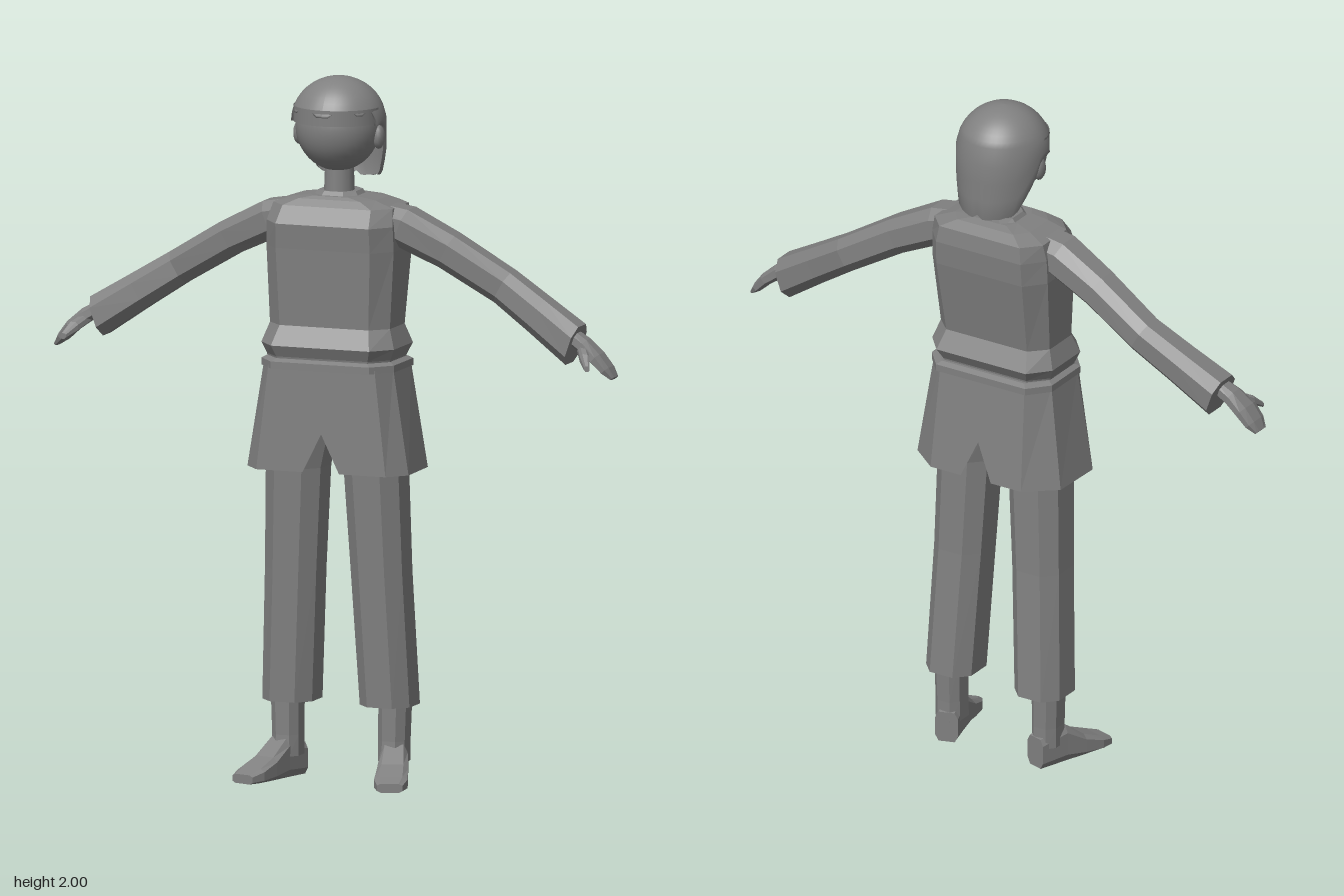
import * as THREE from 'three';

const V = (x, y, z) => new THREE.Vector3(x, y, z);
const X = V(1, 0, 0), Y = V(0, 1, 0), Z = V(0, 0, 1);
const GREY = 0x808080;
const material = new THREE.MeshStandardMaterial({ color: GREY, flatShading: true, side: THREE.DoubleSide });
const smooth = new THREE.MeshStandardMaterial({ color: GREY, side: THREE.DoubleSide });

// Eight-sided section around c; e1 x e2 points along the loft
function section(c, e1, e2, h1, h2, b1 = 0.5, b2 = 0.5) {
  return [[1, b2], [b1, 1], [-b1, 1], [-1, b2], [-1, -b2], [-b1, -1], [b1, -1], [1, -b2]]
    .map(([p, q]) => c.clone().addScaledVector(e1, p * h1).addScaledVector(e2, q * h2));
}

// Horizontal section from its extents
const level = (y, x0, x1, zb, zf, bz = 0.5, bx = 0.5) =>
  section(V((x0 + x1) / 2, y, (zb + zf) / 2), Z, X, (zf - zb) / 2, (x1 - x0) / 2, bz, bx);

// Section across a limb running in the xy plane, tilted down by an angle
const limb = (x, y, z, hn, hz, tilt) =>
  section(V(x, y, z), V(Math.sin(tilt), Math.cos(tilt), 0), Z, hn, hz);

// Skin a row of sections; side = -1 mirrors it across x
function loft(name, rings, side = 1, closed = true) {
  const rows = side > 0 ? rings
    : rings.map(r => r.map(p => V(-p.x, p.y, p.z)).reverse());
  const out = [], n = rows[0].length;
  for (let r = 0; r < rows.length - 1; r++) {
    for (let i = 0; i < (closed ? n : n - 1); i++) {
      const j = (i + 1) % n;
      const a = rows[r][i], b = rows[r][j], c = rows[r + 1][j], d = rows[r + 1][i];
      out.push(a, b, c, a, c, d);
    }
  }
  if (closed) {
    const first = rows[0], last = rows[rows.length - 1];
    for (let i = 1; i < n - 1; i++) {
      out.push(first[0], first[i + 1], first[i], last[0], last[i], last[i + 1]);
    }
  }
  const g = new THREE.BufferGeometry().setFromPoints(out);
  g.computeVertexNormals();
  const m = new THREE.Mesh(g, material);
  m.name = name;
  return m;
}

// Hair shell: a dome whose ragged lower edge drops from the fringe to the nape
function hair() {
  const cols = 48, dome = 8, skirtRows = 4, pos = [], index = [];
  const jag = [0, 0.012, 0.016, 0.004, 0.014, 0.02];
  const rows = dome + skirtRows + 1;
  for (let i = 0; i <= cols; i++) {
    const a = (i / cols) * Math.PI * 2;
    const m = Math.min(i, cols - i), off = m / (cols / 2);
    const lock = jag[Math.floor(m / 2) % jag.length];
    let bottom = 1.898 + lock;
    if (off > 0.4) bottom = 1.87;
    if (off > 0.54) bottom = Math.max(1.712, 1.86 - (off - 0.54) * 0.75) - lock * 0.6;
    for (let r = 0; r <= rows; r++) {
      const t = Math.min(Math.max(r - dome, 0) / skirtRows, 1);
      const y = r <= dome ? 2 - 0.08 * (1 - Math.cos((r / dome) * Math.PI / 2)) : 1.92 + (bottom - 1.92) * t;
      let k = Math.sqrt(Math.max(0, 1 - (Math.max(0, y - 1.87) / 0.13) ** 2));
      if (r === rows) k *= 0.93;
      const c = Math.cos(a), taper = y < 1.8 ? 1 - (1.8 - y) * 0.9 : 1;
      pos.push(0.134 * Math.sin(a) * k * taper, y, -0.015 + c * k * (c > 0 ? 0.132 : 0.142));
      if (i < cols && r < rows) {
        const p = i * (rows + 1) + r, q = p + rows + 1;
        index.push(p + 1, q + 1, q, p + 1, q, p);
      }
    }
  }
  const g = new THREE.BufferGeometry();
  g.setAttribute('position', new THREE.Float32BufferAttribute(pos, 3));
  g.setIndex(index);
  g.computeVertexNormals();
  const m = new THREE.Mesh(g, smooth);
  m.name = 'hair';
  return m;
}

function ellipsoid(name, x, y, z, rx, ry, rz, w = 32, h = 20) {
  const m = new THREE.Mesh(new THREE.SphereGeometry(1, w, h).scale(rx, ry, rz), smooth);
  m.position.set(x, y, z);
  m.name = name;
  return m;
}

export function createModel() {
  const model = new THREE.Group();
  model.name = 'figure';

  // Head, hair and neck
  model.add(ellipsoid('head', 0, 1.86, -0.012, 0.12, 0.128, 0.118), hair());
  const neck = new THREE.Mesh(new THREE.CylinderGeometry(0.04, 0.046, 0.16, 12), smooth);
  neck.position.set(0, 1.69, -0.022);
  neck.name = 'neck';
  model.add(neck);

  // Lower layer of hair across the forehead
  const brow = new THREE.Mesh(
    new THREE.CylinderGeometry(1, 1, 0.045, 24, 1, true, -1.5, 3).scale(0.126, 1, 0.123), smooth);
  brow.position.set(0, 1.896, -0.012);
  brow.name = 'hairline';
  model.add(brow);

  // Collar
  model.add(loft('collar', [level(1.65, -0.075, 0.075, -0.095, 0.045), level(1.676, -0.056, 0.056, -0.088, 0.022)]));

  // Tunic top with a bloused waist: y, half width, back, front
  const torso = [
    [1.2, 0.183, -0.115, 0.11], [1.213, 0.186, -0.117, 0.112], [1.245, 0.2, -0.137, 0.127],
    [1.3, 0.181, -0.108, 0.096], [1.52, 0.192, -0.147, 0.106],
    [1.59, 0.19, -0.152, 0.112], [1.638, 0.18, -0.146, 0.076],
    [1.657, 0.125, -0.115, 0.056], [1.665, 0.072, -0.09, 0.045],
  ];
  model.add(loft('tunicTop', torso.map(([y, w, b, f]) => level(y, -w, w, b, f, 0.55, 0.74))));

  // Belt
  model.add(loft('belt', [[1.18, 0.2], [1.2, 0.2], [1.208, 0.185]].map(([y, w]) =>
    level(y, -w, w, 0.06 - w, w - 0.072, 0.55, 0.74))));

  // Skirt halves, slit at the centre of the front and back: x, z along top and hem
  const top = [[0, 0.115], [0.03, 0.115], [0.16, 0.115], [0.195, 0.06],
    [0.195, -0.075], [0.14, -0.13], [0.03, -0.13], [0, -0.13]];
  const hem = [[0, 0.118], [0.055, 0.12], [0.195, 0.12], [0.243, 0.065],
    [0.238, -0.095], [0.15, -0.165], [0.05, -0.165], [0, -0.152]];
  const skirt = [
    hem.map(([x, z], i) => V(x, i === 0 || i === 7 ? 1.0 : 0.89, z)),
    top.map(([x, z]) => V(x, 1.19, z)),
  ];

  for (const side of [1, -1]) {
    const s = side > 0 ? 'left' : 'right';
    const add = (name, rings, closed = true) => model.add(loft(s + name, rings, side, closed));

    add('Skirt', skirt, false);

    // Trouser leg
    add('Trouser', [
      level(0.22, 0.072, 0.222, -0.115, 0.045), level(0.6, 0.052, 0.207, -0.095, 0.062),
      level(0.89, 0.035, 0.2, -0.09, 0.075), level(1.02, 0.006, 0.195, -0.095, 0.08),
      level(1.17, 0, 0.18, -0.1, 0.085),
    ]);

    // Ankle and foot, toes turned out
    add('Ankle', [level(0.06, 0.12, 0.2, -0.083, 0.012), level(0.12, 0.12, 0.2, -0.082, 0.008),
      level(0.26, 0.12, 0.205, -0.085, 0.008)]);
    const turn = 0.3;
    const across = V(Math.cos(turn), 0, -Math.sin(turn));
    const foot = [[-0.042, 0.09, 0.033], [0.045, 0.112, 0.038], [0.11, 0.065, 0.044],
      [0.17, 0.04, 0.047], [0.21, 0.026, 0.036]];
    add('Foot', foot.map(([d, h, w]) => section(
      V(0.16 + d * Math.sin(turn), h / 2, -0.045 + d * Math.cos(turn)), across, Y, w, h / 2, 0.7, 0.6)));

    // Sleeve
    add('Sleeve', [
      limb(0.12, 1.6, -0.022, 0.05, 0.062, 0.15), limb(0.2, 1.583, -0.022, 0.055, 0.063, 0.35),
      limb(0.33, 1.52, -0.034, 0.051, 0.056, 0.47), limb(0.49, 1.425, -0.05, 0.049, 0.052, 0.52),
      limb(0.6, 1.355, -0.032, 0.052, 0.055, 0.5), limb(0.717, 1.279, -0.012, 0.058, 0.06, 0.34),
    ]);

    // Hand and thumb
    add('Hand', [
      limb(0.69, 1.315, -0.008, 0.02, 0.026, 0.5), limb(0.75, 1.28, 0, 0.021, 0.033, 0.55),
      limb(0.79, 1.248, 0.004, 0.018, 0.041, 0.75), limb(0.82, 1.215, 0.004, 0.014, 0.038, 0.8),
      limb(0.84, 1.193, 0.004, 0.006, 0.024, 0.8),
    ]);
    const thumb = [[0.745, 1.275, 0.015, 0.014], [0.772, 1.25, 0.058, 0.015], [0.79, 1.228, 0.088, 0.008]];
    add('Thumb', thumb.map(([x, y, z, r]) => section(V(x, y, z), X, Y, r, r)));

    model.add(ellipsoid(s + 'Ear', side * 0.12, 1.832, -0.02, 0.016, 0.034, 0.024, 10, 8));
  }
  return model;
}
